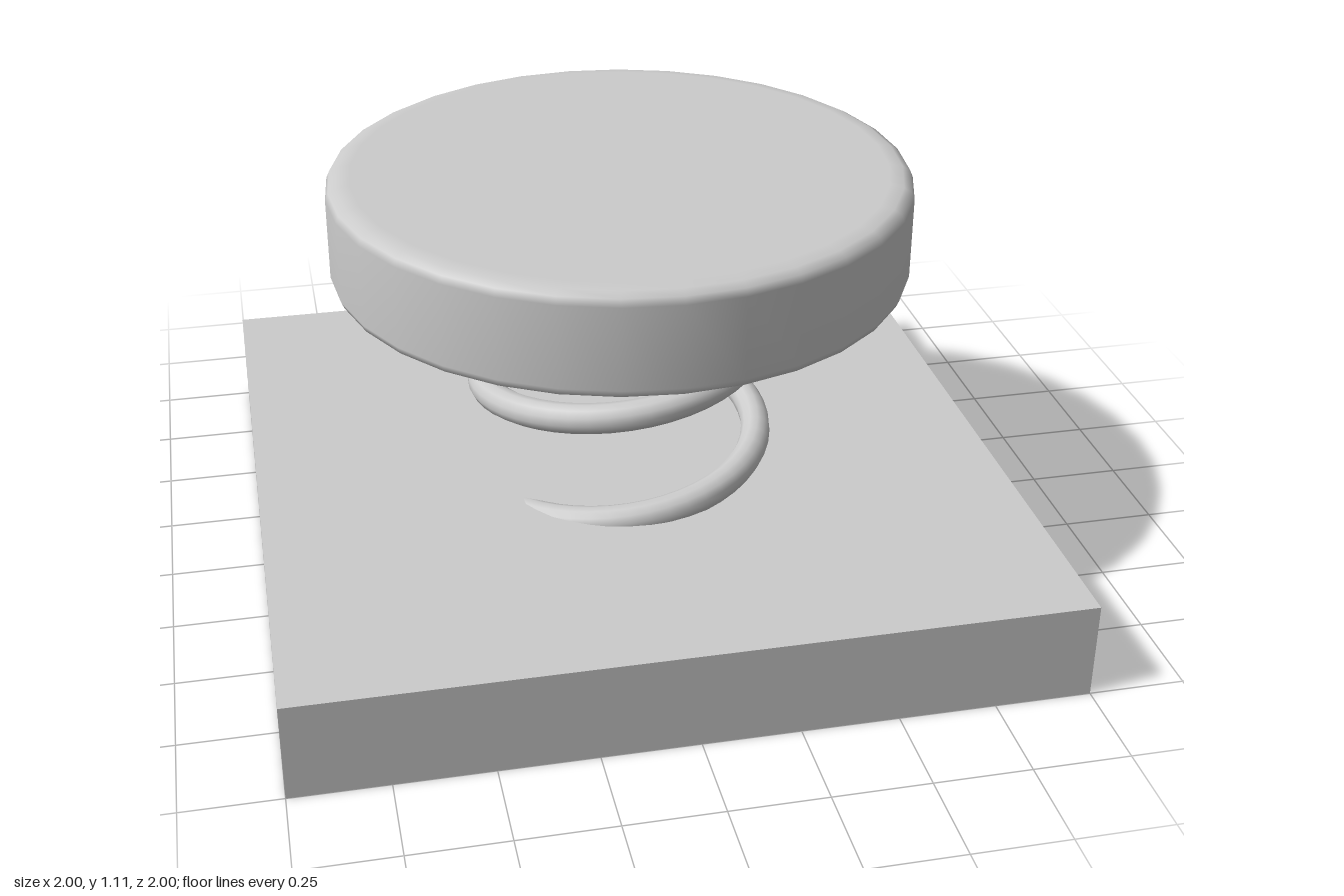
import * as THREE from 'three';

const TAU = Math.PI * 2;

// Helix rising from the -x side, passing +z, +x, -z in turn
class Helix extends THREE.Curve {
  constructor(radius, startY, pitch, turns) {
    super();
    Object.assign(this, { radius, startY, pitch, turns });
  }
  getPoint(t, target = new THREE.Vector3()) {
    const a = t * this.turns * TAU - Math.PI / 2;
    return target.set(
      this.radius * Math.sin(a),
      this.startY + this.pitch * this.turns * t,
      this.radius * Math.cos(a)
    );
  }
}

export function createModel() {
  const model = new THREE.Group();
  const solid = new THREE.MeshStandardMaterial({ color: 0xcccccc });
  const thin = new THREE.MeshStandardMaterial({ color: 0xcccccc, side: THREE.DoubleSide });

  const add = (name, geometry, material) => {
    const mesh = new THREE.Mesh(geometry, material);
    mesh.name = name;
    model.add(mesh);
    return mesh;
  };

  // Base: thin-walled tray, open underneath
  const baseH = 0.26;
  add('baseTop', new THREE.PlaneGeometry(2, 2).rotateX(-Math.PI / 2).translate(0, baseH, 0), thin);
  for (let i = 0; i < 4; i++) {
    const wall = new THREE.PlaneGeometry(2, baseH).translate(0, baseH / 2, 1).rotateY(i * Math.PI / 2);
    add('baseWall', wall, thin);
  }

  // Spring: open-ended coil passing through the base top and into the cap
  const coil = new Helix(0.375, 0.19, 0.31, 2.5);
  add('spring', new THREE.TubeGeometry(coil, 120, 0.04, 12, false), thin);

  // Cap: round pad with softly rolled rims
  const bottom = 0.82, top = 1.106;
  const rim = [[0, 0], [0.7, 0], [0.735, 0.005], [0.755, 0.016], [0.763, 0.035]];
  const profile = [
    ...rim.map(([r, d]) => new THREE.Vector2(r, bottom + d)),
    ...rim.slice().reverse().map(([r, d]) => new THREE.Vector2(r, top - d)),
  ];
  add('cap', new THREE.LatheGeometry(profile, 32), solid);

  return model;
}
